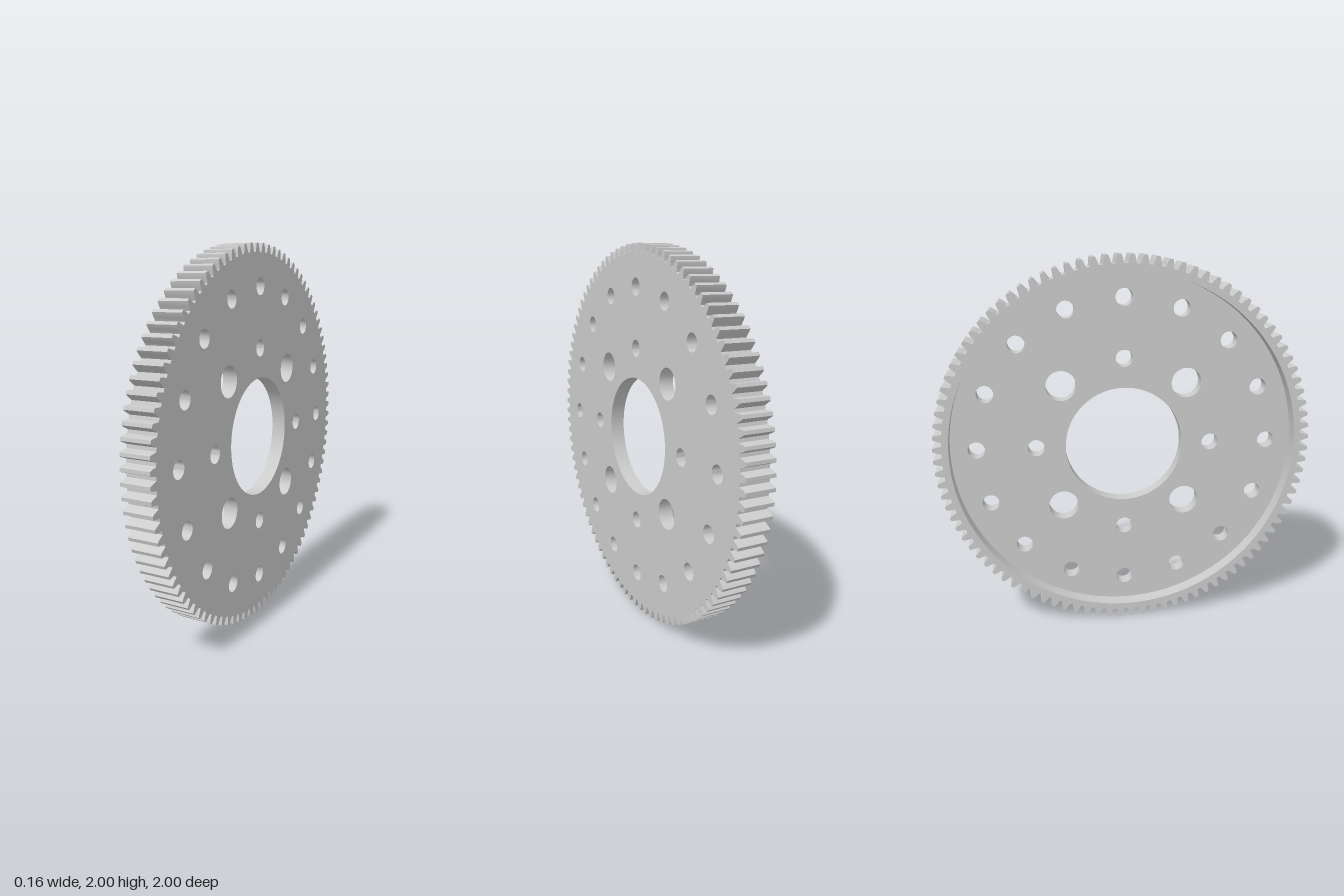
import * as THREE from 'three';
import { mergeGeometries, toCreasedNormals } from 'three/addons/utils/BufferGeometryUtils.js';

const TEETH = 96, TIP = 1, ROOT = 0.955;
const HALF = 0.078;      // half of the gear's thickness
const FLOOR = 0;         // depth at which the recess ends
const RECESS = 0.92;     // recess radius

const polar = (r, a) => new THREE.Vector2(r * Math.cos(a), r * Math.sin(a));

function circle(r, n, cx = 0, cy = 0) {
  const pts = [];
  for (let i = 0; i < n; i++) {
    pts.push(polar(r, (i / n) * Math.PI * 2).add(new THREE.Vector2(cx, cy)));
  }
  return pts;
}

// Toothed outline with curved flanks: [radius, offset in pitches from tooth centre]
function gearOutline() {
  const flank = [[ROOT, -0.36], [0.962, -0.31], [0.976, -0.26], [0.99, -0.195], [TIP, -0.13]];
  const profile = [...flank, ...flank.map(([r, o]) => [r, -o]).reverse()];
  const pitch = (Math.PI * 2) / TEETH;
  const pts = [];
  for (let i = 0; i < TEETH; i++) {
    for (const [r, o] of profile) pts.push(polar(r, (i + 0.5 + o) * pitch));
  }
  return pts;
}

// Flat face with holes, facing +z or (flipped) -z
function face(outline, holes, z, flip) {
  const shape = new THREE.Shape(outline);
  shape.holes = holes.map((h) => new THREE.Path(h));
  const g = new THREE.ShapeGeometry(shape);
  if (flip) {
    g.index.array.reverse();
    g.computeVertexNormals();
  }
  return finish(g.translate(0, 0, z).toNonIndexed());
}

// Side wall along a closed loop; inward for holes
function wall(loop, z0, z1, inward) {
  const pts = inward ? [...loop].reverse() : loop;
  const pos = [];
  pts.forEach((p, i) => {
    const q = pts[(i + 1) % pts.length];
    pos.push(p.x, p.y, z0, q.x, q.y, z0, q.x, q.y, z1);
    pos.push(p.x, p.y, z0, q.x, q.y, z1, p.x, p.y, z1);
  });
  const g = new THREE.BufferGeometry();
  g.setAttribute('position', new THREE.Float32BufferAttribute(pos, 3));
  g.computeVertexNormals();
  return finish(toCreasedNormals(g, 0.5));
}

function finish(g) {
  g.deleteAttribute('uv');
  return g;
}

export function createModel() {
  const group = new THREE.Group();
  group.name = 'spurGear';
  const material = new THREE.MeshStandardMaterial({ color: 0xcccccc });
  const add = (name, parts) => {
    const mesh = new THREE.Mesh(mergeGeometries(parts).rotateY(Math.PI / 2), material);
    mesh.name = name;
    mesh.position.y = 1;
    group.add(mesh);
  };

  const outline = gearOutline();
  const recess = circle(RECESS, 128);

  // Bore, outer ring of 16 holes, inner ring alternating small and large holes
  const bore = circle(0.315, 96);
  const mountingHoles = [];
  for (let i = 0; i < 16; i++) {
    const c = polar(0.785, (i * Math.PI) / 8);
    mountingHoles.push(circle(0.045, 32, c.x, c.y));
  }
  for (let i = 0; i < 8; i++) {
    const c = polar(0.471, (i * Math.PI) / 4);
    mountingHoles.push(circle(i % 2 ? 0.08 : 0.045, 40, c.x, c.y));
  }
  const holes = [bore, ...mountingHoles];

  add('flatFace', [face(outline, holes, HALF, false)]);
  add('toothedRim', [
    wall(outline, -HALF, HALF, false),
    face(outline, [recess], -HALF, true),
  ]);
  add('recess', [
    wall(recess, -HALF, FLOOR, true),
    face(recess, holes, FLOOR, true),
  ]);
  add('bore', [wall(bore, FLOOR, HALF, true)]);
  add('mountingHoles', mountingHoles.map((h) => wall(h, FLOOR, HALF, true)));
  return group;
}
